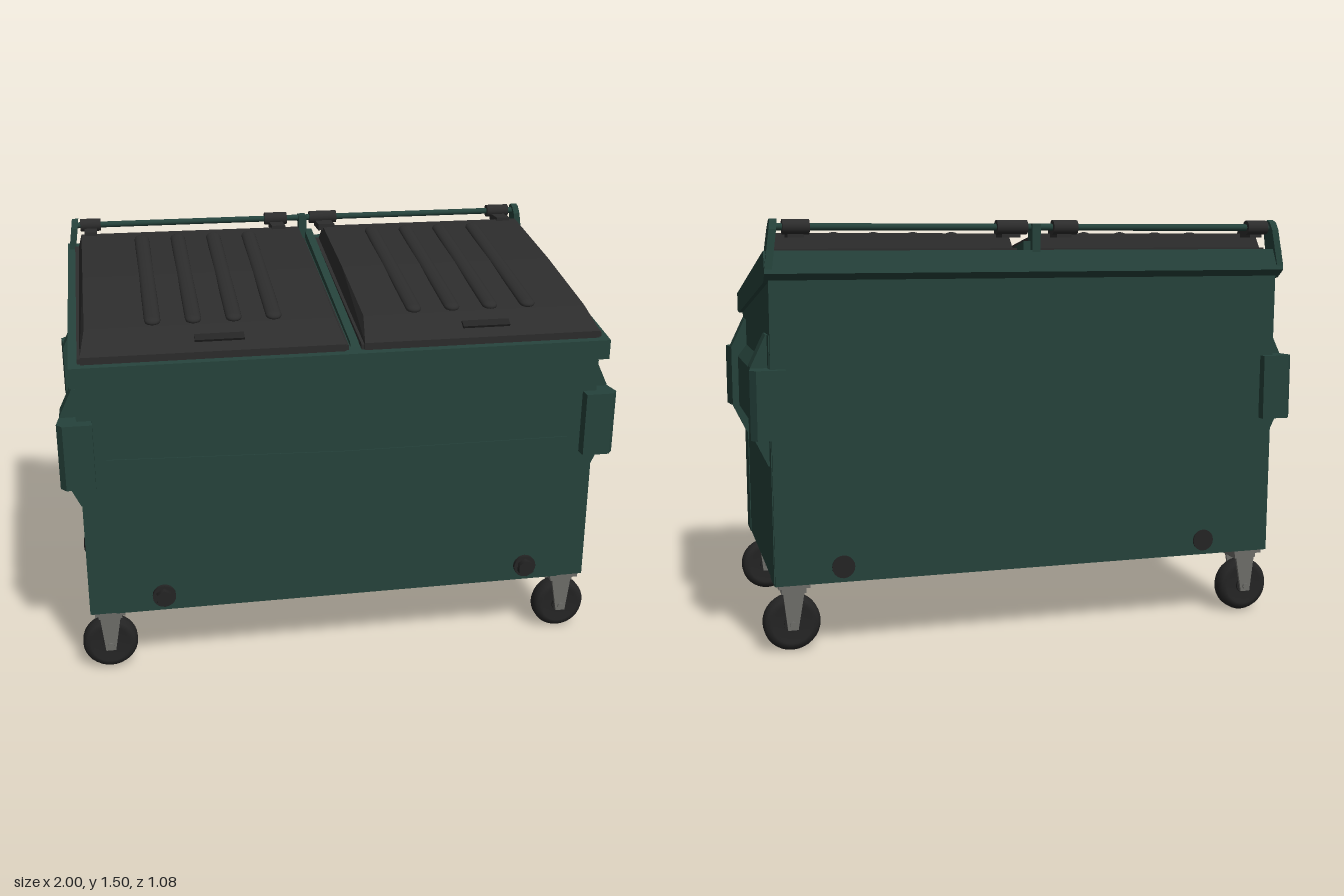
import * as THREE from 'three';

const mat = (name, color) => {
  const m = new THREE.MeshStandardMaterial({ color });
  m.name = name;
  return m;
};

export function createModel() {
  const green = mat('green paint', 0x25423b);
  const lidBlack = mat('black plastic', 0x2c2c2c);
  const rubber = mat('dark rubber', 0x242424);
  const steel = mat('grey steel', 0x6c6c68);
  const root = new THREE.Group();
  root.name = 'wheeledBin';

  const add = (parent, name, geo, material, x = 0, y = 0, z = 0) => {
    const m = new THREE.Mesh(geo, material);
    m.name = name;
    m.position.set(x, y, z);
    parent.add(m);
    return m;
  };
  const group = (parent, name, x = 0, y = 0, z = 0) => {
    const g = new THREE.Group();
    g.name = name;
    g.position.set(x, y, z);
    parent.add(g);
    return g;
  };
  const box = (w, h, d) => new THREE.BoxGeometry(w, h, d);
  const prism = (pts, depth) => new THREE.ExtrudeGeometry(
    new THREE.Shape(pts.map(p => new THREE.Vector2(...p))), { depth, bevelEnabled: false, curveSegments: 8 });
  // side profile given as [z, y], extruded along x and centred
  const sideProfile = (pts, width) => prism(pts.map(([z, y]) => [-z, y]), width)
    .rotateY(Math.PI / 2).translate(-width / 2, 0, 0);
  // plan outline given as [x, z], extruded upward
  const plan = (pts, height) => prism(pts.map(([x, z]) => [x, -z]), height).rotateX(-Math.PI / 2);
  const rod = (r, len, seg = 16) => new THREE.CylinderGeometry(r, r, len, seg).rotateZ(Math.PI / 2);
  const disc = (r, len, seg = 20) => new THREE.CylinderGeometry(r, r, len, seg).rotateX(Math.PI / 2);

  // Container and sloping rim
  add(root, 'body', sideProfile([[0.48, 0.25], [0.48, 1.14], [-0.51, 1.31], [-0.5, 0.25]], 1.86), green);
  add(root, 'rim', sideProfile([[0.48, 1.13], [0.54, 1.135], [0.54, 1.205], [-0.52, 1.39],
    [-0.54, 1.315], [-0.5, 1.285]], 1.89), green);
  add(root, 'frontPanel', prism([[-0.84, 0.25], [0.83, 0.25], [0.83, 0.825], [0, 0.825], [-0.84, 0.85]], 0.005),
    green, 0, 0, 0.48);
  add(root, 'lidDivider', sideProfile([[0.5, 1.2], [0.48, 1.23], [-0.5, 1.42], [-0.5, 1.37]], 0.03), green, 0.03);

  // Side bands, fork pockets and their gussets
  for (const s of [1, -1]) {
    const side = group(root, s > 0 ? 'leftFittings' : 'rightFittings');
    side.scale.x = s;
    add(side, 'sideBand', prism([[0.92, 0.75], [0.965, 0.77], [0.965, 0.965], [0.93, 1.01], [0.92, 1.01]], 0.76),
      green, 0, 0, -0.39);
    for (const f of [1, -1]) {
      const corner = group(side, f > 0 ? 'frontCorner' : 'backCorner', 0, 0, f > 0 ? 0 : -0.015);
      corner.scale.z = f;
      add(corner, 'forkPocket', plan([[0.88, 0.46], [0.88, 0.525], [0.98, 0.525], [1.0, 0.5],
        [0.99, 0.42], [0.92, 0.42]], 0.235), green, 0, 0.762, 0);
      add(corner, 'gusset', prism([[0.925, 0.66], [0.937, 0.66], [0.99, 0.77], [0.99, 1.0],
        [0.937, 1.11], [0.925, 1.11]], 0.085), green, 0, 0, 0.348);
      add(corner, 'cornerPlate', box(0.006, 0.86, 0.12), green, 0.93, 0.68, 0.416);
    }
    // Upright plate carrying the hinge rod
    const ear = sideProfile([[-0.46, 1.36], [-0.462, 1.46], [-0.475, 1.485], [-0.495, 1.495],
      [-0.515, 1.487], [-0.528, 1.46], [-0.54, 1.33]], 0.025);
    const p = ear.attributes.position;
    for (let i = 0; i < p.count; i++) p.setX(i, p.getX(i) + 0.932 - (p.getY(i) - 1.33) * 0.14);
    ear.computeVertexNormals();
    add(side, 'hingeEar', ear, green);
  }

  // Pair of ribbed lids
  const slope = Math.atan2(0.147, 0.82);
  const rib = new THREE.CapsuleGeometry(0.028, 0.72, 6, 14).rotateX(Math.PI / 2).scale(1, 0.55, 1);
  for (const [name, cx, width] of [['rightLid', -0.455, 0.9], ['leftLid', 0.485, 0.85]]) {
    const lid = group(root, name, cx);
    const shell = sideProfile([[0.52, 1.21], [0.52, 1.235], [0.4, 1.298], [0, 1.378], [-0.42, 1.447], [-0.44, 1.375]], width);
    const p = shell.attributes.position;
    for (let i = 0; i < p.count; i++) {
      const rise = p.getY(i) - (1.21 - (p.getZ(i) - 0.52) * 0.172);
      if (rise > 0.035) p.setX(i, p.getX(i) - Math.sign(p.getX(i)) * 0.018);
    }
    shell.computeVertexNormals();
    add(lid, 'lidShell', shell, lidBlack);
    add(lid, 'lidFlange', sideProfile([[0.51, 1.21], [0.51, 1.228], [-0.44, 1.395], [-0.44, 1.375]], width + 0.02), lidBlack);
    for (let i = 0; i < 4; i++) {
      add(lid, 'lidRib', rib, lidBlack, (i - 1.5) * 0.14 - Math.sign(cx) * 0.01, 1.372, 0.015).rotation.x = slope;
    }
    add(lid, 'lidHandle', box(0.17, 0.016, 0.03), rubber, 0.02, 1.265, 0.465).rotation.x = 0.48;
  }

  // Hinge rod with knuckles and arms to the lids
  add(root, 'hingeRod', rod(0.012, 1.82), green, 0, 1.468, -0.497);
  add(root, 'hingePost', box(0.03, 0.12, 0.05), green, 0.005, 1.42, -0.497);
  for (const [x, len] of [[-0.85, 0.08], [-0.105, 0.09], [0.09, 0.11], [0.835, 0.09]]) {
    add(root, 'hingeKnuckle', rod(0.025, len), lidBlack, x, 1.468, -0.497);
    add(root, 'hingeArm', box(len * 0.6, 0.025, 0.1), lidBlack, x, 1.445, -0.45);
  }

  // Drain plugs on the front, flat caps on the back
  for (const x of [-0.665, 0.695]) {
    add(root, 'drainFlange', disc(0.042, 0.02), rubber, x, 0.31, 0.488);
    add(root, 'drainPlug', disc(0.032, 0.04, 6), rubber, x, 0.31, 0.5);
    add(root, 'backCap', disc(0.04, 0.008), rubber, x, 0.305, -0.502);
  }

  // Casters: the wheels roll sideways, with axles along z
  const tyre = new THREE.LatheGeometry([[0.02, -0.03], [0.065, -0.03], [0.072, -0.036], [0.09, -0.032], [0.1, -0.014],
    [0.1, 0.014], [0.09, 0.032], [0.072, 0.036], [0.065, 0.03], [0.02, 0.03]]
    .map(a => new THREE.Vector2(...a)), 32).rotateX(Math.PI / 2);
  const leg = prism([[-0.018, 0.08], [0.018, 0.08], [0.045, 0.235], [-0.035, 0.235]], 0.01);
  for (const sx of [1, -1]) for (const z of [0.405, -0.415]) {
    const caster = group(root, 'caster', sx * 0.868, 0, z);
    caster.scale.x = -sx;
    add(caster, 'wheel', tyre, rubber, 0, 0.1, 0);
    add(caster, 'hub', disc(0.03, 0.076), rubber, 0, 0.1, 0);
    add(caster, 'axle', disc(0.012, 0.11, 12), steel, 0, 0.1, 0);
    add(caster, 'forkLeg', leg, steel, 0, 0, 0.038);
    add(caster, 'forkLeg', leg, steel, 0, 0, -0.048);
    add(caster, 'forkCrown', box(0.085, 0.022, 0.096), steel, 0.005, 0.222, 0);
    add(caster, 'mountPlate', box(0.11, 0.016, 0.14), steel, 0.005, 0.242, 0);
  }
  return root;
}
